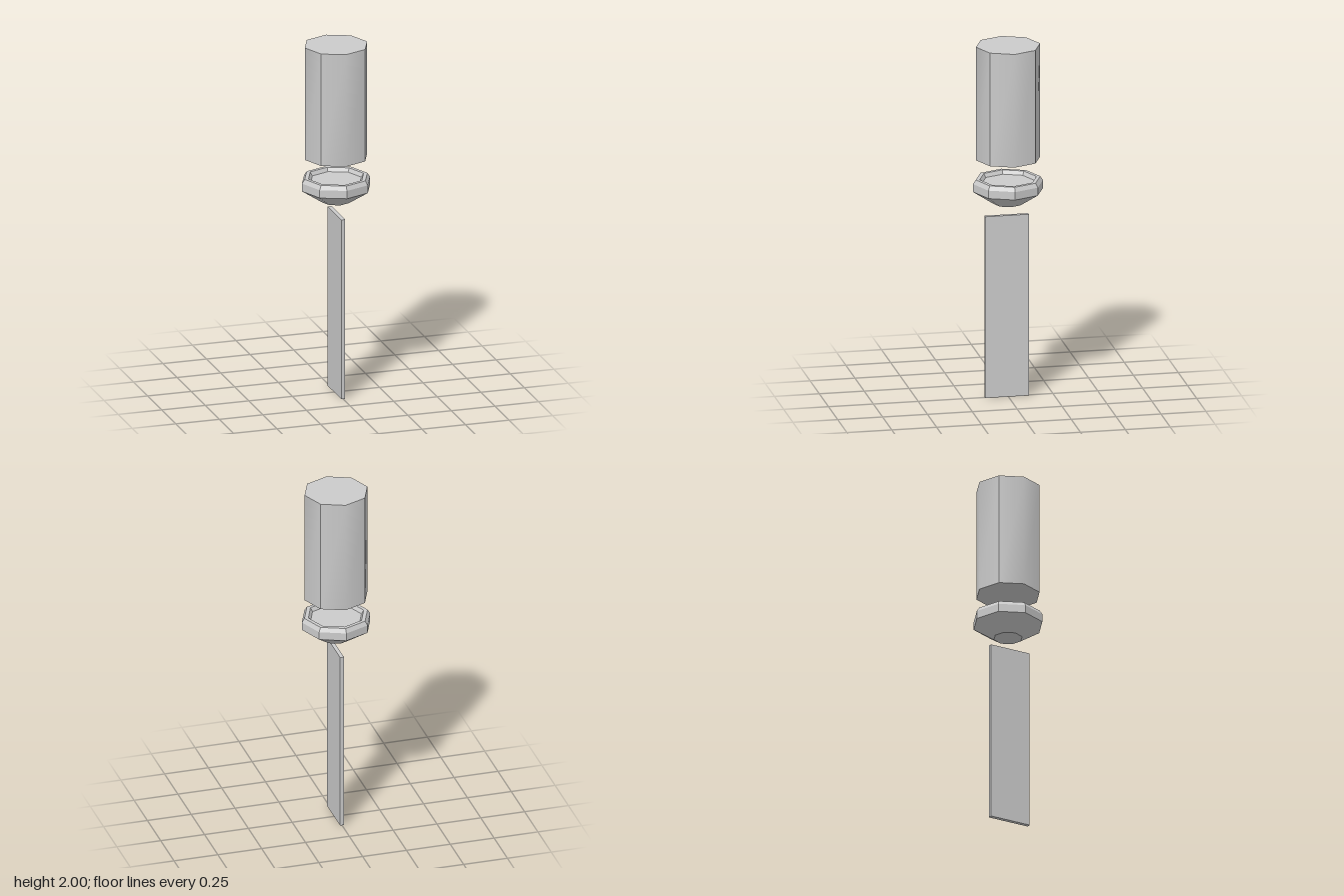
import * as THREE from 'three';

const SIDES = 8;
const material = () => new THREE.MeshStandardMaterial({ color: 0xcccccc });

function part(name, geometry, parent, mat = material()) {
  const mesh = new THREE.Mesh(geometry, mat);
  mesh.name = name;
  parent.add(mesh);
  return mesh;
}

export function createModel() {
  const model = new THREE.Group();
  model.name = 'explodedKnife';

  // Octagonal handle: four shells of two faces, smooth within each shell
  const handle = new THREE.Group();
  handle.name = 'handle';
  const radius = 0.179, bottom = 1.355, top = 2;
  for (let i = 0; i < 4; i++) {
    const shell = new THREE.CylinderGeometry(radius, radius, top - bottom, 2, 1, true,
      -Math.PI / 4 + i * Math.PI / 2, Math.PI / 2);
    shell.computeVertexNormals();
    part('handleSide', shell, handle).position.y = (top + bottom) / 2;
  }
  // Handle end caps
  for (const [name, y, turn] of [['handleTop', top, -1], ['handleBottom', bottom, 1]]) {
    const cap = part(name, new THREE.CircleGeometry(radius, SIDES), handle);
    cap.rotation.x = turn * Math.PI / 2;
    cap.position.y = y;
  }
  model.add(handle);

  // Faceted collar: tapered base, upright band, bevelled rim and shallow recess
  const profile = [
    [0, 1.1], [0.08, 1.1], [0.195, 1.175], [0.195, 1.22],
    [0.18, 1.243], [0.158, 1.243], [0.145, 1.222], [0, 1.222],
  ].map(([r, y]) => new THREE.Vector2(r, y));
  const collarMaterial = material();
  collarMaterial.flatShading = true;
  part('collar', new THREE.LatheGeometry(profile, SIDES), model, collarMaterial);

  // Flat blade
  const blade = part('blade', new THREE.BoxGeometry(0.022, 1.033, 0.243), model);
  blade.position.set(0, 0.5165, 0.008);

  return model;
}
